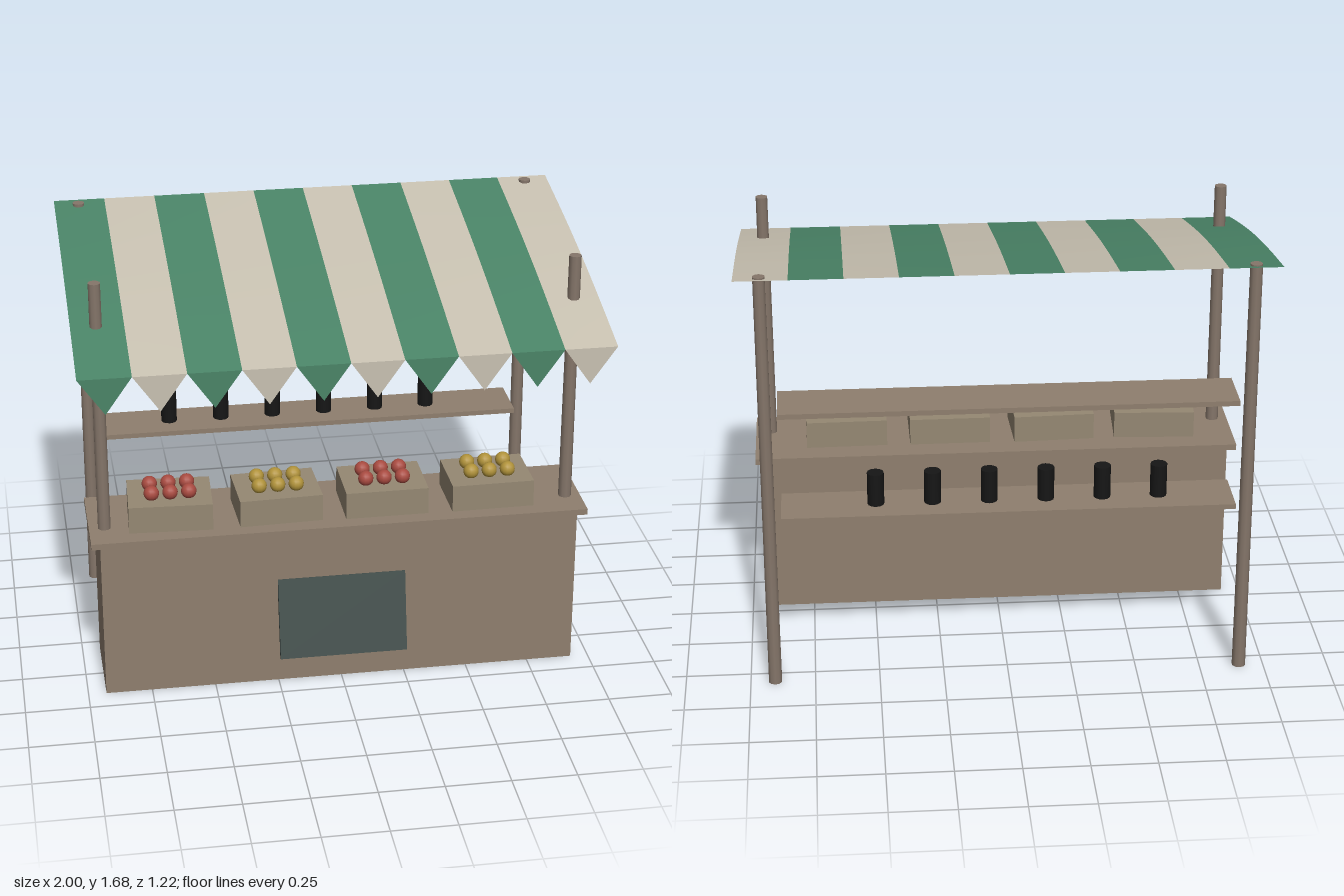
import * as THREE from 'three';

const mat = (color, extra = {}) => new THREE.MeshStandardMaterial({ color, ...extra });
const wood = mat(0x8f7f6e);
const postWood = mat(0x85766a);
const crateWood = mat(0x958873);
const slate = mat(0x434f4c);
const jarBlack = mat(0x161616);
const fruitColors = [mat(0xa84a40), mat(0xb0923a)];
const cloth = [0x4a8467, 0xc8c1b1].map((c) => mat(c, { side: THREE.DoubleSide }));

function add(parent, name, geometry, material, x = 0, y = 0, z = 0) {
  const mesh = new THREE.Mesh(geometry, material);
  mesh.name = name;
  mesh.position.set(x, y, z);
  parent.add(mesh);
  return mesh;
}

const box = (parent, name, w, h, d, material, x, y, z) =>
  add(parent, name, new THREE.BoxGeometry(w, h, d), material, x, y, z);

// One strip of the cloth roof: slopes down to the front, arched, sagging mid-span
function stripeGeometry(x0, width) {
  const geo = new THREE.PlaneGeometry(width, 1, 2, 10).rotateX(-Math.PI / 2);
  const pos = geo.attributes.position;
  for (let i = 0; i < pos.count; i++) {
    const x = pos.getX(i) + x0 + width / 2;
    const t = pos.getZ(i) + 0.5;
    const arch = 0.02 - 0.011 * Math.cos((x * Math.PI) / 2);
    pos.setXYZ(i, x, 1.68 - 0.245 * t + arch * Math.sin(Math.PI * t), -0.6 + 1.207 * t);
  }
  geo.computeVertexNormals();
  return geo;
}

export function createModel() {
  const stall = new THREE.Group();
  stall.name = 'marketStall';

  // Counter
  box(stall, 'counterBody', 1.86, 0.65, 0.355, wood, 0, 0.325, 0.227);
  box(stall, 'counterTop', 1.93, 0.024, 0.4, wood, 0, 0.66, 0.23);

  // Four posts
  for (const x of [-0.905, 0.905]) {
    for (const z of [0.295, -0.56]) {
      add(stall, 'post', new THREE.CylinderGeometry(0.0235, 0.0265, 1.682, 10), postWood, x, 0.841, z);
    }
  }

  // Back shelves with a row of jars
  for (const y of [0.72, 1.148]) box(stall, 'shelf', 1.715, 0.02, 0.215, wood, 0, y, -0.508);
  for (let i = 0; i < 6; i++) {
    add(stall, 'jar', new THREE.CylinderGeometry(0.032, 0.032, 0.13, 12), jarBlack, -0.575 + i * 0.215, 0.795, -0.508);
  }

  // Crates of fruit, each turned a little
  const turns = [-0.05, 0.04, 0.005, 0.015];
  turns.forEach((turn, i) => {
    const crate = new THREE.Group();
    crate.name = 'fruitCrate';
    crate.position.set(-0.648 + i * 0.416, 0.672, 0.247);
    stall.add(crate);
    box(crate, 'crate', 0.322, 0.108, 0.242, crateWood, 0, 0.054, 0).rotation.y = turn;
    for (let n = 0; n < 6; n++) {
      add(crate, 'fruit', new THREE.SphereGeometry(0.03, 14, 10), fruitColors[i % 2],
        ((n % 3) - 1) * 0.072, 0.13, n < 3 ? -0.042 : 0.042);
    }
  });

  // Board leaning on the counter front
  box(stall, 'signBoard', 0.5, 0.325, 0.02, slate, 0, 0.288, 0.431).rotation.x = -0.2;

  // Striped canopy with a pointed flag on the front of each stripe
  const flag = new THREE.Shape([
    new THREE.Vector2(-0.1, 0), new THREE.Vector2(0, -0.143), new THREE.Vector2(0.1, 0),
  ]);
  for (let i = 0; i < 10; i++) {
    const x0 = -1 + i * 0.2;
    add(stall, 'canopyStripe', stripeGeometry(x0, 0.2), cloth[i % 2]);
    add(stall, 'canopyFlag', new THREE.ShapeGeometry(flag), cloth[i % 2], x0 + 0.1, 1.435, 0.607);
  }

  return stall;
}
